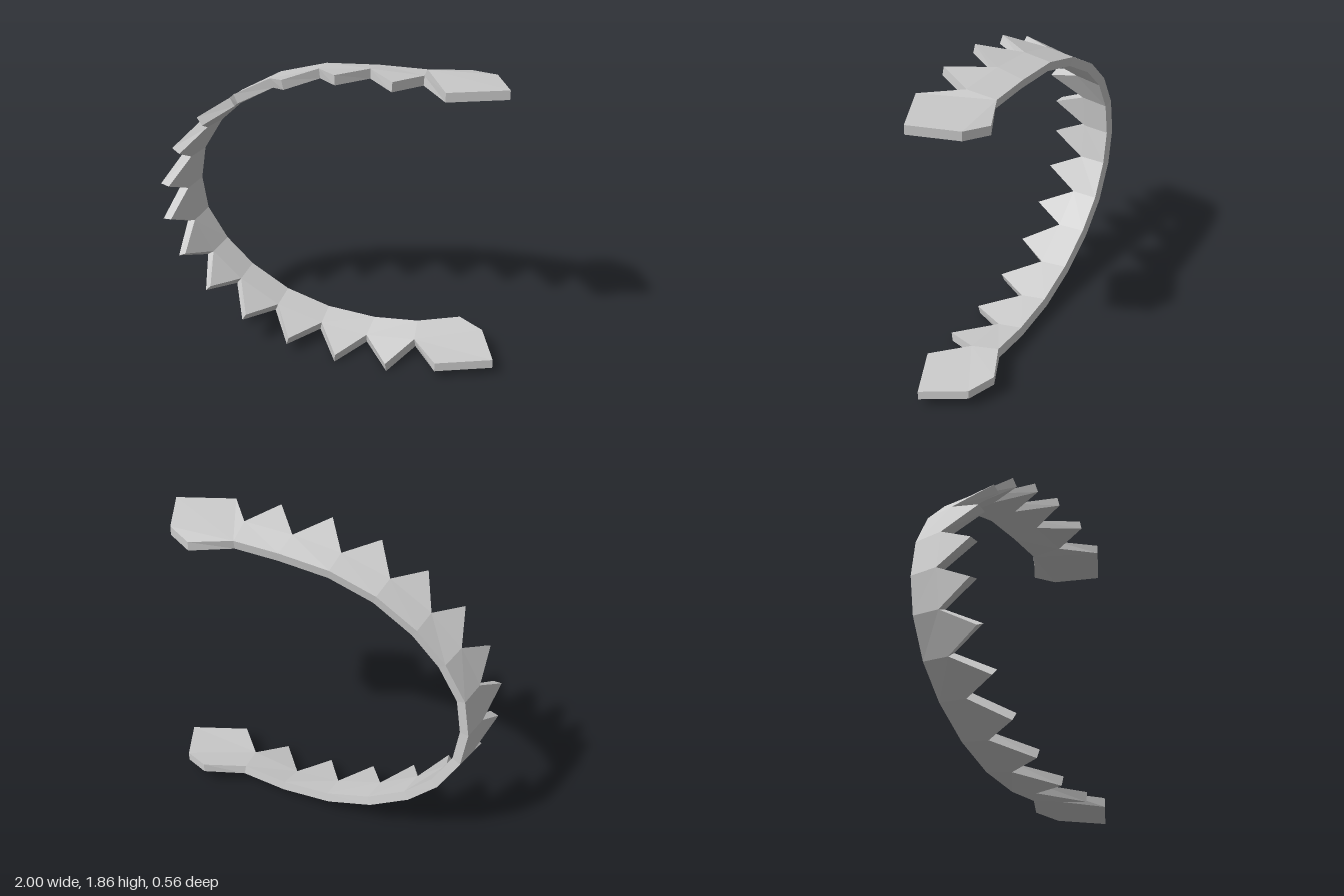
import * as THREE from 'three';

const MID = 0.9275;      // height of the band's mirror plane
const THICK = 0.055;

// Upper half of the outer surface, from the middle of the C to its end
const valleys = [[-0.985, 0.9275, 0.05], [-0.95, 1.16, 0.05], [-0.83, 1.38, 0.04], [-0.64, 1.55, 0.04],
  [-0.39, 1.70, 0.03], [-0.10, 1.79, 0.01], [0.20, 1.825, 0], [0.51, 1.825, 0]];
const rears = [[-0.97, 0.9275, -0.12], [-0.935, 1.15, -0.12], [-0.81, 1.365, -0.13], [-0.635, 1.535, -0.135],
  [-0.39, 1.68, -0.14], [-0.11, 1.765, -0.15], [0.20, 1.79, -0.16], [0.48, 1.795, -0.17]];
const tips = [[-1, 1.045, 0.27], [-0.915, 1.285, 0.265], [-0.75, 1.5, 0.26], [-0.52, 1.67, 0.25],
  [-0.235, 1.79, 0.24], [0.07, 1.855, 0.23], [0.395, 1.855, 0.22]];
const endPlate = [[0.685, 1.825, 0.2], [1, 1.825, 0.05], [0.87, 1.80, -0.21], [0.71, 1.78, -0.28]];

const vec = (p) => new THREE.Vector3(...p);
const flip = ([x, y, z]) => new THREE.Vector3(x, 2 * MID - y, z);

// Pair an outer point with the inner one, offset across the path direction
function pair(p, from, to, dz = 0.01) {
  const t = to.clone().sub(from).setZ(0).normalize();
  return { out: p, in: new THREE.Vector3(p.x + t.y * THICK, p.y - t.x * THICK, p.z + dz) };
}

// Slab from a polygon of point pairs, walled along the listed edges
function addSlab(pos, poly, walls, tris) {
  const put = (...pts) => pts.forEach((p) => pos.push(p.x, p.y, p.z));
  for (const [a, b, c] of tris) {
    put(poly[a].out, poly[b].out, poly[c].out);
    put(poly[a].in, poly[c].in, poly[b].in);
  }
  for (const e of walls) {
    const a = poly[e], b = poly[(e + 1) % poly.length];
    put(a.out, a.in, b.in, a.out, b.in, b.out);
  }
}

function makeMesh(name, pos) {
  const geo = new THREE.BufferGeometry();
  geo.setAttribute('position', new THREE.Float32BufferAttribute(pos, 3));
  geo.computeVertexNormals();
  const mesh = new THREE.Mesh(geo, new THREE.MeshStandardMaterial({ color: 0xcccccc, flatShading: true }));
  mesh.name = name;
  return mesh;
}

export function createModel() {
  const group = new THREE.Group();
  group.name = 'toothedBand';

  // Whole path from the lower end, round the left, to the upper end
  const V = [...valleys.slice(1).reverse().map(flip), ...valleys.map(vec)];
  const R = [...rears.slice(1).reverse().map(flip), ...rears.map(vec)];
  const T = [...tips.slice().reverse().map(flip), ...tips.map(vec)];
  const last = V.length - 1;

  // The lower end is bent slightly upwards
  V[0].y += 0.035;
  R[0].y += 0.03;

  const along = (pts, i) => pair(pts[i], V[Math.max(i - 1, 0)], V[Math.min(i + 1, last)]);
  const vp = V.map((_, i) => along(V, i));
  const rp = R.map((_, i) => along(R, i));

  // Curved band, one pointed tooth per segment
  const band = [];
  for (let i = 0; i < last; i++) {
    const tip = pair(T[i], V[i], V[i + 1]);
    addSlab(band, [rp[i], vp[i], tip, vp[i + 1], rp[i + 1]], [1, 2, 4], [[0, 1, 3], [0, 3, 4], [1, 2, 3]]);
  }
  group.add(makeMesh('toothedArc', band));

  // Flared plates closing the two ends
  const fan = [[0, 1, 2], [0, 2, 3], [0, 3, 4], [0, 4, 5]];
  const right = new THREE.Vector3(1, 0, 0), origin = new THREE.Vector3();
  const upper = endPlate.map((p) => pair(vec(p), origin, right, 0));
  const lower = endPlate.map((p) => {
    const q = flip(p);
    q.y += 0.022;
    return pair(q, right, origin, 0);
  });
  const upperPos = [], lowerPos = [];
  addSlab(upperPos, [rp[last], vp[last], ...upper], [1, 2, 3, 4, 5], fan);
  addSlab(lowerPos, [vp[0], rp[0], ...lower.reverse()], [1, 2, 3, 4, 5], fan);
  group.add(makeMesh('upperEndPlate', upperPos), makeMesh('lowerEndPlate', lowerPos));
  return group;
}
